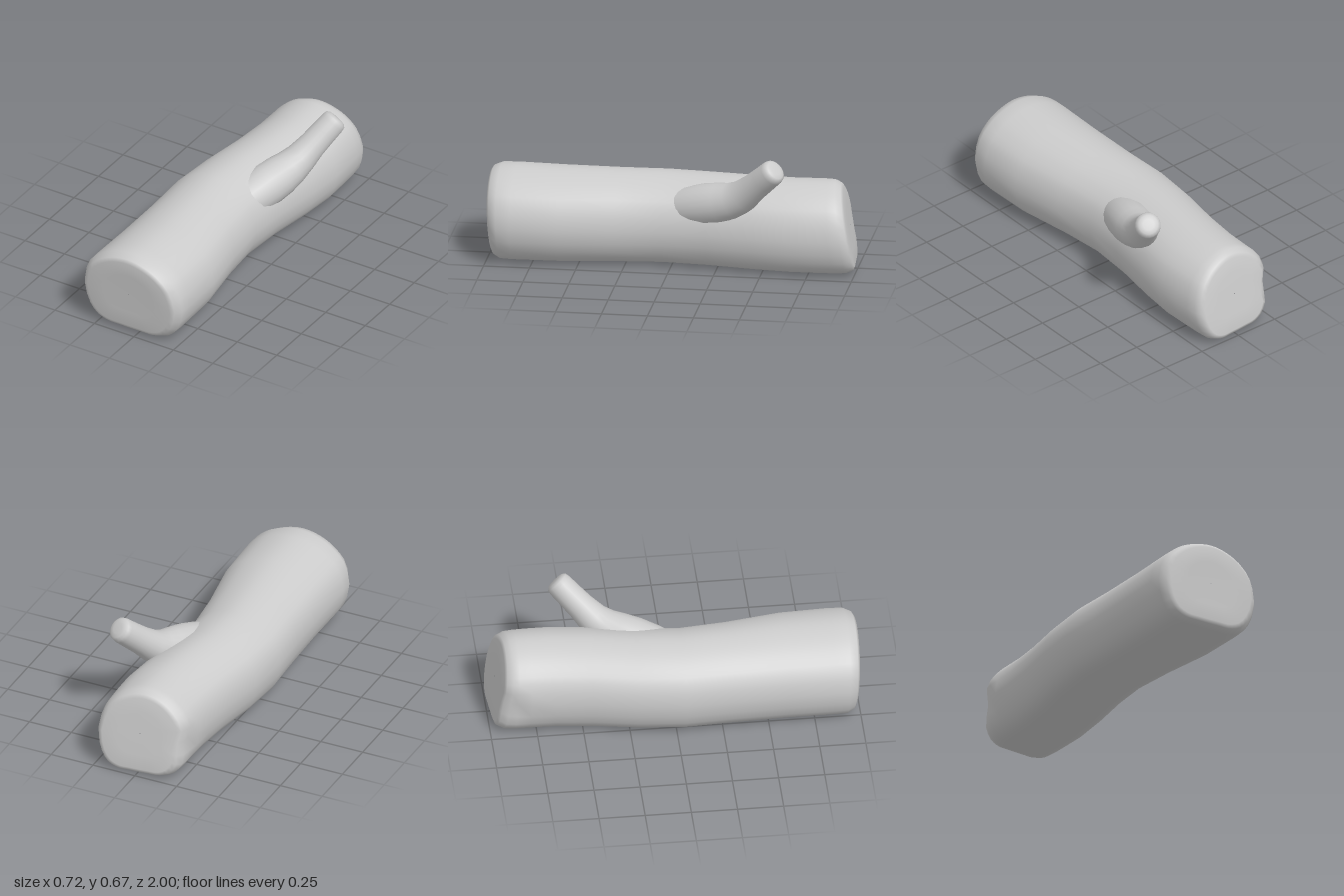
import * as THREE from 'three';

const bark = new THREE.MeshStandardMaterial({ color: 0xcccccc });
const V = (x, y, z) => new THREE.Vector3(x, y, z);

// Skin a list of equal-length closed rings into one smooth surface
function loft(rings, name) {
  const n = rings[0].length, index = [];
  for (let i = 0; i < rings.length - 1; i++) {
    for (let j = 0; j < n; j++) {
      const a = i * n + j, b = i * n + (j + 1) % n;
      index.push(a, a + n, b, b, a + n, b + n);
    }
  }
  const geo = new THREE.BufferGeometry().setFromPoints(rings.flat());
  geo.setIndex(index);
  geo.computeVertexNormals();
  const mesh = new THREE.Mesh(geo, bark);
  mesh.name = name;
  return mesh;
}

// Trunk cross-section: x in half-widths, y in units, flat underside
const section = new THREE.CatmullRomCurve3([
  [1, 0.22], [0.9, 0.34], [0.68, 0.42], [0.39, 0.47], [0, 0.495], [-0.42, 0.468],
  [-0.72, 0.41], [-0.91, 0.34], [-0.99, 0.24], [-0.93, 0.13], [-0.78, 0.05],
  [-0.55, 0.012], [-0.2, 0.006], [0.2, 0.006], [0.52, 0.01], [0.78, 0.05], [0.94, 0.13],
].map(([x, y]) => V(x, y, 0)), true).getSpacedPoints(48).slice(0, 48);

// Stations: z, centre x, half-width, scale, height factor, z slope by y, z slope by x
const stations = [
  [0.985, -0.045, 0.31, 0.01, 1, 0.07, 0],
  [0.985, -0.045, 0.31, 0.5, 1, 0.07, 0],
  [0.987, -0.045, 0.31, 0.84, 1, 0.07, 0],
  [0.975, -0.045, 0.31, 0.92, 1, 0.06, 0],
  [0.935, -0.043, 0.313, 0.99, 1, 0.04, 0],
  [0.86, -0.042, 0.312, 1, 1, 0, 0],
  [0.6, -0.045, 0.307, 1, 0.99, 0, 0],
  [0.3, -0.072, 0.283, 1, 0.975, 0, 0],
  [0.05, -0.09, 0.276, 1, 0.97, 0, 0],
  [-0.2, -0.07, 0.274, 1, 0.97, 0, 0],
  [-0.45, -0.03, 0.272, 1, 0.98, 0, 0],
  [-0.65, -0.01, 0.272, 1, 0.985, 0, 0],
  [-0.78, -0.01, 0.268, 1, 0.99, 0.03, 0],
  [-0.86, -0.012, 0.266, 1, 0.99, 0.08, -0.03],
  [-0.91, -0.012, 0.264, 0.985, 0.99, 0.14, -0.07],
  [-0.945, -0.01, 0.262, 0.92, 0.99, 0.17, -0.08],
  [-0.955, -0.01, 0.26, 0.84, 0.99, 0.17, -0.08],
  [-0.957, -0.01, 0.26, 0.5, 0.99, 0.17, -0.08],
  [-0.957, -0.01, 0.26, 0.01, 0.99, 0.17, -0.08],
];

function trunkRing([z, cx, hw, s, h, ty, tx]) {
  return section.map((p) => {
    const y = 0.25 + (p.y * h - 0.25) * s;
    let x = p.x * hw * s;
    // small notch in the side of the back end
    if (z < -0.8 && x < 0 && s > 0.8) x += 0.05 * Math.exp(-(((y - 0.2) / 0.04) ** 2));
    return V(cx + x, y, z + ty * (y - 0.25) + tx * x);
  });
}

// Branch stub: flared root buried in the trunk, rounded tip
function branchRings() {
  const path = new THREE.CatmullRomCurve3([
    V(0.03, 0.3, 0.02), V(0.09, 0.35, -0.17), V(0.165, 0.415, -0.36),
    V(0.235, 0.53, -0.49), V(0.297, 0.635, -0.597),
  ]);
  // position along the path, radius
  const profile = [
    [0, 0.09], [0.15, 0.112], [0.3, 0.118], [0.42, 0.112], [0.52, 0.1], [0.62, 0.088],
    [0.74, 0.077], [0.86, 0.073], [0.95, 0.071], [0.98, 0.066], [0.995, 0.052], [1, 0.03], [1, 0.001],
  ];
  return profile.map(([t, r]) => {
    const c = path.getPointAt(t), T = path.getTangentAt(t);
    const N = V(1, 0, 0).addScaledVector(T, -T.x).normalize();
    const B = N.clone().cross(T);
    return Array.from({ length: 20 }, (_, j) => {
      const a = (j / 20) * Math.PI * 2;
      return c.clone().addScaledVector(N, Math.cos(a) * r).addScaledVector(B, Math.sin(a) * r);
    });
  });
}

export function createModel() {
  const log = new THREE.Group();
  log.name = 'log';
  log.add(loft(stations.map(trunkRing), 'trunk'));
  log.add(loft(branchRings(), 'branchStub'));
  return log;
}
